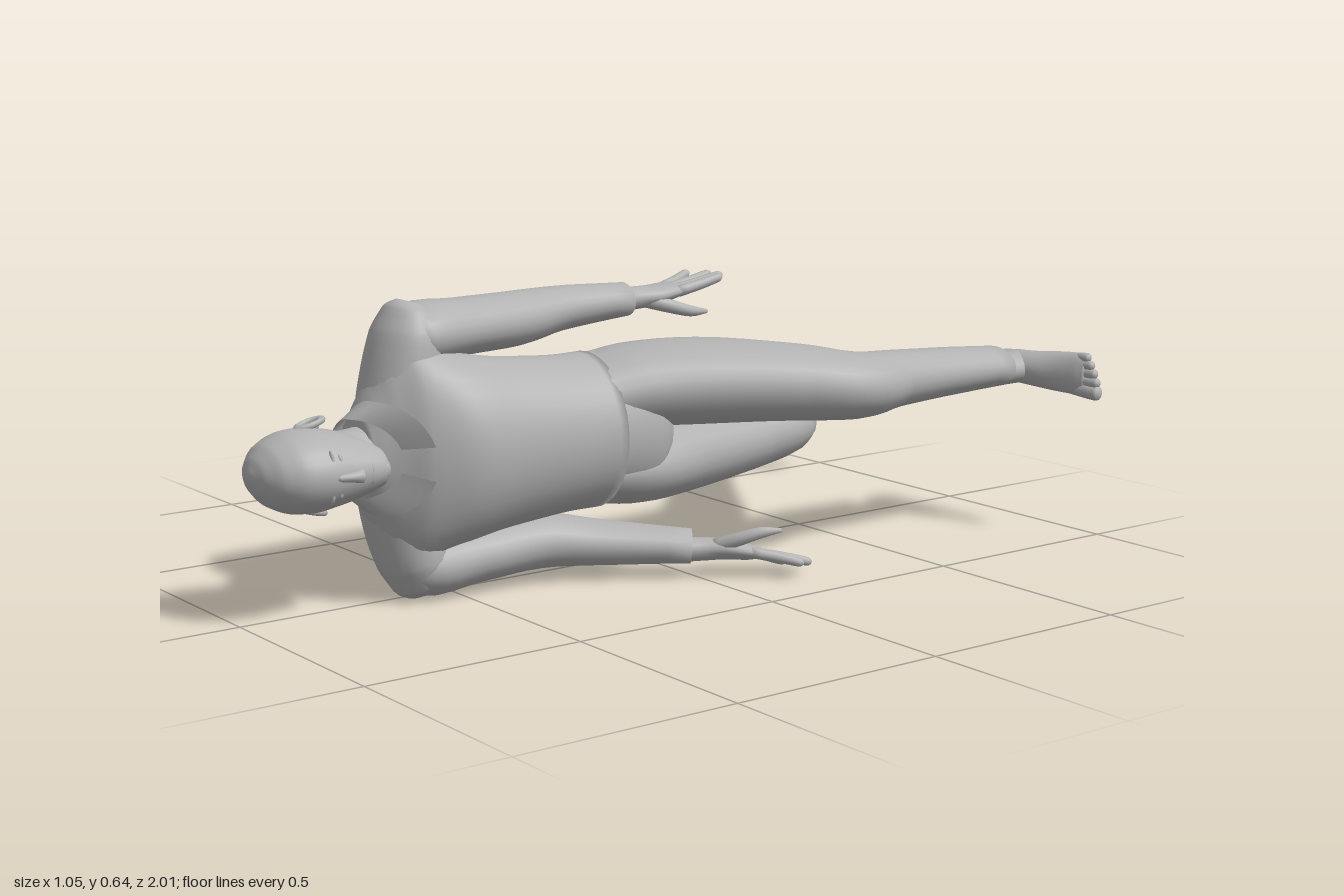
import * as THREE from 'three';

const grey = new THREE.MeshStandardMaterial({ color: 0xb2b2b2, side: THREE.DoubleSide });
grey.name = 'plain grey';

const Y = new THREE.Vector3(0, 1, 0);
const Z = new THREE.Vector3(0, 0, 1);
const MID = 0.325; // height of the body's plane of symmetry

function add(parent, name, geometry) {
  const mesh = new THREE.Mesh(geometry, grey);
  mesh.name = name;
  parent.add(mesh);
  return mesh;
}

// Smooth closed loft through elliptical sections [x, y, z, radius across, radius along up]
function loft(sections, { sides = 24, steps = 4, flat = false, up = Y } = {}) {
  const centres = new THREE.CatmullRomCurve3(sections.map(s => new THREE.Vector3(s[0], s[1], s[2])), false, 'centripetal');
  const radii = new THREE.CatmullRomCurve3(sections.map(s => new THREE.Vector3(s[3], s[4], 0)), false, 'catmullrom', 0.4);
  const count = (sections.length - 1) * steps;
  const position = [], index = [];
  const ring = (t, scale) => {
    const c = centres.getPoint(t), r = radii.getPoint(t);
    const dir = flat ? new THREE.Vector3(0, 0, Math.sign(sections.at(-1)[2] - sections[0][2])) : centres.getTangent(t);
    const v = dir.clone().cross(up).normalize();
    const u = v.clone().cross(dir).normalize();
    for (let j = 0; j < sides; j++) {
      const a = (j / sides) * Math.PI * 2;
      const p = c.clone().addScaledVector(v, Math.cos(a) * r.x * scale).addScaledVector(u, Math.sin(a) * r.y * scale);
      position.push(p.x, p.y, p.z);
    }
  };
  ring(0, 0.001);
  for (let i = 0; i <= count; i++) ring(i / count, 1);
  ring(1, 0.001);
  for (let i = 0; i < count + 2; i++) {
    for (let j = 0; j < sides; j++) {
      const a = i * sides + j, b = i * sides + (j + 1) % sides;
      index.push(a, a + sides, b, b, a + sides, b + sides);
    }
  }
  return makeGeometry(position, index);
}

function makeGeometry(position, index) {
  const g = new THREE.BufferGeometry();
  g.setAttribute('position', new THREE.Float32BufferAttribute(position, 3));
  g.setIndex(index);
  g.computeVertexNormals();
  return g;
}

function blob(parent, name, x, y, z, rx, ry, rz) {
  return add(parent, name, new THREE.SphereGeometry(1, 16, 12).scale(rx, ry, rz).translate(x, y, z));
}

// Hand with fingers along -z, thumb towards +x, palm facing -y * s
function makeHand(name, s) {
  const hand = new THREE.Group();
  hand.name = name;
  add(hand, 'palm', loft([
    [0, 0, 0.04, 0.034, 0.028], [0, 0, -0.02, 0.034, 0.026], [0, 0.002 * s, -0.07, 0.046, 0.023],
    [0, 0.01 * s, -0.12, 0.048, 0.018], [0, 0.012 * s, -0.145, 0.04, 0.012]], { sides: 16 }));
  const fingers = [[0.034, 0.046, 0.235], [0.012, 0.018, 0.258], [-0.011, -0.014, 0.25], [-0.032, -0.05, 0.215]];
  fingers.forEach(([x, tipX, length], i) => add(hand, 'finger' + (i + 1), loft([
    [x, 0.01 * s, -0.12, 0.013, 0.013], [(x + tipX) / 2, 0.022 * s, -(0.12 + length) / 2, 0.012, 0.012],
    [tipX, 0.035 * s, -length + 0.008, 0.01, 0.01], [tipX, 0.037 * s, -length, 0.004, 0.004]], { sides: 10, steps: 3 })));
  add(hand, 'thumb', loft([
    [0.012, -0.004 * s, -0.04, 0.018, 0.018], [0.042, -0.02 * s, -0.09, 0.016, 0.016],
    [0.054, -0.034 * s, -0.14, 0.013, 0.013], [0.056, -0.038 * s, -0.185, 0.005, 0.005]], { sides: 10, steps: 3 }));
  return hand;
}

// Bare foot with toes along +x, sole facing -z, big toe on the side of y * s
function makeFoot(name, s) {
  const foot = new THREE.Group();
  foot.name = name;
  add(foot, 'ankle', loft([[0.015, 0, 0.07, 0.054, 0.037], [0.012, 0, 0, 0.056, 0.037], [0.005, 0, -0.08, 0.068, 0.038]]));
  add(foot, 'footBody', loft([
    [-0.075, 0, -0.088, 0.015, 0.015], [-0.062, 0, -0.085, 0.04, 0.03], [-0.01, 0, -0.072, 0.056, 0.037],
    [0.05, 0, -0.074, 0.053, 0.041], [0.12, 0, -0.09, 0.036, 0.048], [0.17, 0, -0.101, 0.025, 0.05],
    [0.192, 0, -0.104, 0.016, 0.044]]));
  [[0.038, 0.235, 0.017], [0.015, 0.232, 0.012], [-0.005, 0.224, 0.0115], [-0.024, 0.214, 0.011], [-0.041, 0.202, 0.011]]
    .forEach(([y, tip, r], i) => add(foot, 'toe' + (i + 1), loft([
      [0.15, y * s * 0.9, -0.102, r, r], [tip - 0.022, y * s, -0.1, r, r],
      [tip - 0.006, y * s, -0.102, r, r], [tip, y * s, -0.103, r * 0.4, r * 0.4]], { sides: 10, steps: 3 })));
  return foot;
}

function makeHead() {
  const head = new THREE.Group();
  head.name = 'head';
  const skull = [[0.722, 0.115, 0.025, 0.022], [0.735, 0.11, 0.054, 0.042], [0.78, 0.07, 0.102, 0.067], [0.82, 0.063, 0.111, 0.079],
    [0.87, 0.06, 0.116, 0.087], [0.92, 0.058, 0.109, 0.083], [0.96, 0.056, 0.086, 0.065], [0.985, 0.054, 0.052, 0.039],
    [0.998, 0.053, 0.012, 0.01]];
  add(head, 'skull', loft(skull.map(([z, x, rx, ry]) => [x, MID, z, rx, ry]), { sides: 32, flat: true }));
  add(head, 'neck', loft([[-0.005, MID, 0.64, 0.075, 0.08], [0.01, MID, 0.71, 0.067, 0.064], [0.03, MID, 0.8, 0.07, 0.062]]));
  add(head, 'nose', loft([[0.168, MID, 0.862, 0.008, 0.008], [0.174, MID, 0.83, 0.011, 0.01],
    [0.173, MID, 0.806, 0.014, 0.015], [0.167, MID, 0.795, 0.008, 0.01]], { sides: 12, flat: true }));
  blob(head, 'upperLip', 0.162, MID, 0.776, 0.01, 0.024, 0.005);
  blob(head, 'lowerLip', 0.16, MID, 0.767, 0.01, 0.02, 0.005);
  blob(head, 'chin', 0.146, MID, 0.74, 0.02, 0.024, 0.015);
  for (const s of [1, -1]) {
    blob(head, 'eye', 0.154, MID + s * 0.034, 0.847, 0.012, 0.014, 0.007);
    blob(head, 'brow', 0.154, MID + s * 0.034, 0.865, 0.012, 0.022, 0.006);
    const ear = add(head, 'ear', new THREE.TorusGeometry(0.02, 0.007, 8, 18).scale(0.8, 1.4, 1).rotateX(Math.PI / 2));
    ear.position.set(0.042, MID + s * 0.091, 0.85);
    ear.rotation.x = s * 0.25;
    blob(head, 'earBowl', 0.042, MID + s * 0.084, 0.85, 0.014, 0.007, 0.022);
  }
  return head;
}

// Open collar: a flared band around the neck with a gap at the throat
function collarGeometry() {
  const n = 32, position = [], index = [];
  for (let i = 0; i <= n; i++) {
    const a = 0.3 + (i / n) * (Math.PI * 2 - 0.6), c = Math.cos(a), s = Math.sin(a), drop = 0.08 * Math.max(0, c);
    position.push(0.025 + 0.085 * c, MID + 0.085 * s, 0.748 - drop);
    position.push(0.05 + 0.13 * c, MID + 0.122 * s, 0.706 - drop);
    if (i < n) index.push(2 * i, 2 * i + 1, 2 * i + 2, 2 * i + 2, 2 * i + 1, 2 * i + 3);
  }
  return makeGeometry(position, index);
}

export function createModel() {
  const figure = new THREE.Group();
  figure.name = 'lyingFigure';

  // Shirt: [z, x, depth, width]
  const shirt = [[0.165, 0.056, 0.158, 0.174], [0.25, 0.058, 0.152, 0.174], [0.4, 0.058, 0.148, 0.187], [0.53, 0.053, 0.147, 0.21],
    [0.62, 0.035, 0.12, 0.235], [0.665, 0.018, 0.094, 0.2], [0.695, 0.008, 0.08, 0.14], [0.72, 0.002, 0.066, 0.085]];
  add(figure, 'shirt', loft(shirt.map(([z, x, rx, ry]) => [x, MID, z, rx, ry]), { sides: 36, flat: true }));

  // Shoulder yoke across the body: [distance from middle, z, depth, height]
  const half = [[0.314, 0.58, 0.03, 0.028], [0.296, 0.585, 0.065, 0.05], [0.245, 0.592, 0.092, 0.072],
    [0.16, 0.605, 0.1, 0.083], [0.08, 0.615, 0.1, 0.088]];
  const side = (s, shift) => half.map(([d, z, rx, rz]) => [shift * Math.max(0, d - 0.16), MID + s * d, z, rx, rz]);
  add(figure, 'shoulders', loft([...side(-1, 0.15), ...side(1, 0).reverse()], { up: Z }));
  add(figure, 'collar', collarGeometry());

  // Trousers: hips and two legs in mid stride
  add(figure, 'hips', loft([[0.055, MID, 0.25, 0.14, 0.16], [0.053, MID, 0.15, 0.15, 0.17], [0.048, MID, 0.06, 0.15, 0.175],
    [0.035, MID, 0, 0.12, 0.14], [0.02, MID, -0.05, 0.05, 0.06]], { sides: 32, flat: true }));
  add(figure, 'leftLeg', loft([[0.052, 0.405, 0.2, 0.12, 0.075], [0.075, 0.417, 0.07, 0.137, 0.092], [0.14, 0.42, -0.08, 0.132, 0.096],
    [0.25, 0.412, -0.27, 0.11, 0.086], [0.308, 0.4, -0.39, 0.1, 0.076], [0.291, 0.398, -0.51, 0.086, 0.066],
    [0.282, 0.395, -0.7, 0.08, 0.056], [0.284, 0.392, -0.86, 0.073, 0.047]]));
  add(figure, 'rightLeg', loft([[0.052, 0.245, 0.2, 0.13, 0.075], [0.04, 0.235, 0.06, 0.148, 0.092], [0.018, 0.235, -0.1, 0.124, 0.094],
    [-0.005, 0.24, -0.32, 0.1, 0.081], [-0.027, 0.25, -0.445, 0.096, 0.074], [-0.13, 0.255, -0.54, 0.079, 0.068],
    [-0.275, 0.268, -0.66, 0.07, 0.058], [-0.385, 0.275, -0.75, 0.065, 0.048]]));

  // Sleeves
  add(figure, 'leftSleeve', loft([[0, 0.545, 0.63, 0.06, 0.045], [0, 0.567, 0.58, 0.095, 0.068], [-0.015, 0.572, 0.45, 0.086, 0.062],
    [-0.033, 0.573, 0.3, 0.078, 0.06], [-0.042, 0.583, 0.18, 0.066, 0.05], [-0.03, 0.59, 0, 0.05, 0.038]]));
  add(figure, 'rightSleeve', loft([[0.01, 0.105, 0.63, 0.06, 0.045], [0.012, 0.076, 0.58, 0.092, 0.07], [0.022, 0.08, 0.45, 0.085, 0.064],
    [0.048, 0.09, 0.29, 0.076, 0.061], [0.11, 0.08, 0.17, 0.064, 0.05], [0.225, 0.07, 0.005, 0.048, 0.038]]));

  // Hands and feet
  const leftHand = makeHand('leftHand', 1);
  leftHand.position.set(-0.02, 0.592, 0);
  const rightHand = makeHand('rightHand', -1);
  rightHand.position.set(0.232, 0.063, 0);
  rightHand.rotation.set(0, -0.5, 0.2);
  const leftFoot = makeFoot('leftFoot', -1);
  leftFoot.position.set(0.285, 0.385, -0.867);
  const rightFoot = makeFoot('rightFoot', 1);
  rightFoot.position.set(-0.4, 0.277, -0.767);
  rightFoot.rotation.y = 0.76;
  figure.add(makeHead(), leftHand, rightHand, leftFoot, rightFoot);
  return figure;
}
